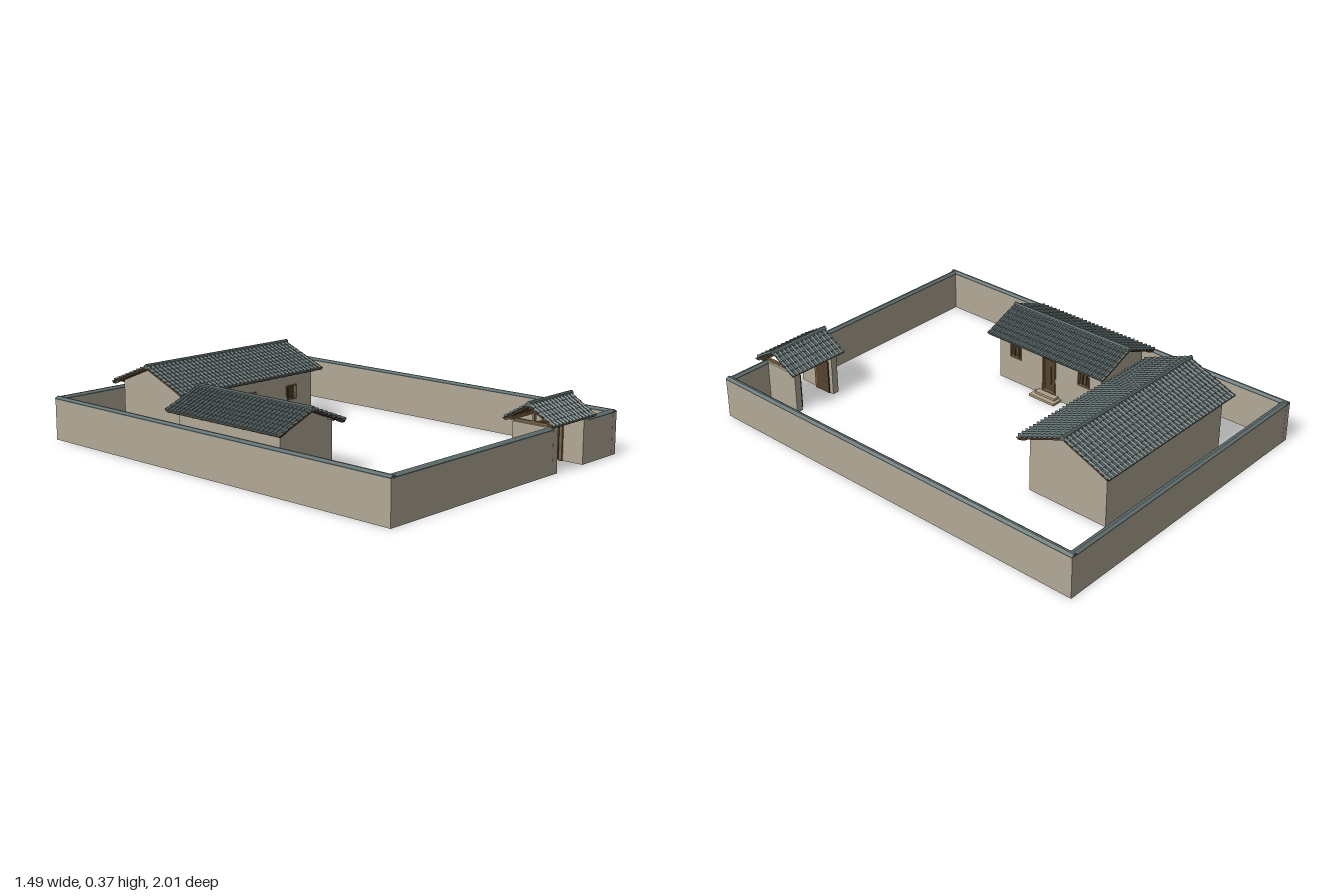
import * as THREE from 'three';

const mat = (name, color, opts = {}) => {
  const m = new THREE.MeshStandardMaterial({ color, ...opts });
  m.name = name;
  return m;
};

export function createModel() {
  const M = {
    wall: mat('plaster', 0xb2aa97),
    tile: mat('slate tile', 0x627070, { flatShading: true, side: THREE.DoubleSide }),
    wood: mat('brown wood', 0x7d6648),
    dark: mat('dark wood', 0x54422f),
    stone: mat('step stone', 0xb0a184),
  };
  const root = new THREE.Group();
  root.name = 'courtyard';

  const add = (parent, name, geo, material, x = 0, y = 0, z = 0) => {
    const m = new THREE.Mesh(geo, material);
    m.name = name;
    m.position.set(x, y, z);
    parent.add(m);
    return m;
  };
  // Box given by its lower and upper limits
  const box = (parent, name, material, x0, x1, y0, y1, z0, z1) =>
    add(parent, name, new THREE.BoxGeometry(x1 - x0, y1 - y0, z1 - z0), material,
      (x0 + x1) / 2, (y0 + y1) / 2, (z0 + z1) / 2);

  // Outline in (z, y), extruded along x and centred
  const prismX = (pts, length) => {
    const s = new THREE.Shape(pts.map(([z, y]) => new THREE.Vector2(-z, y)));
    const g = new THREE.ExtrudeGeometry(s, { depth: length, bevelEnabled: false });
    return g.translate(0, 0, -length / 2).rotateY(Math.PI / 2);
  };

  // Barrel tiles in overlapping courses; eave at z = length, ridge at z = 0
  function tileSheet(width, length) {
    const cols = Math.round(width / 0.0235), rows = Math.round(length / 0.028);
    const profile = [[0, 0], [0.06, 0.006], [0.18, 0.0095], [0.32, 0.0095], [0.44, 0.006], [0.5, 0], [0.75, -0.001]];
    const line = [];
    for (let c = 0; c < cols; c++)
      for (const [u, h] of profile) line.push([((c + u) / cols - 0.5) * width, h + 0.001]);
    line.push([width / 2, 0.001]);
    const pos = [], idx = [];
    const course = (z, lift, k = 1) => line.forEach(([x, h]) => pos.push(x, h * k + lift, z));
    course(length, 0, 0);
    for (let r = 0; r < rows; r++) {
      course(length * (1 - r / rows), 0.004);
      course(length * (1 - (r + 1) / rows), 0);
    }
    const n = line.length;
    for (let i = 0; i < rows * 2; i++)
      for (let j = 0; j < n - 1; j++) {
        const a = i * n + j, d = a + n;
        idx.push(a, a + 1, d + 1, a, d + 1, d);
      }
    const g = new THREE.BufferGeometry();
    g.setAttribute('position', new THREE.Float32BufferAttribute(pos, 3));
    g.setIndex(idx);
    g.computeVertexNormals();
    return g;
  }

  // Gable roof with its ridge along x
  function roof(parent, width, run, ridgeY, drop) {
    const g = new THREE.Group();
    g.name = 'roof';
    g.position.y = ridgeY;
    parent.add(g);
    const angle = Math.atan2(drop, run), length = Math.hypot(run, drop);
    const sheet = tileSheet(width, length);
    for (const turn of [0, Math.PI]) {
      const side = new THREE.Group(), slope = new THREE.Group();
      side.name = 'roofSide';
      slope.name = 'roofSlope';
      side.rotation.y = turn;
      slope.rotation.x = angle;
      side.add(slope);
      g.add(side);
      add(slope, 'roofTiles', sheet, M.tile);
      box(slope, 'roofBoards', M.dark, -width / 2 + 0.002, width / 2 - 0.002, -0.007, 0, 0, length - 0.002);
      // Rafter ends under the eave
      const count = Math.round(width / 0.05);
      for (let i = 0; i <= count; i++) {
        const x = (i / count - 0.5) * (width - 0.02);
        box(slope, 'rafterEnd', M.wood, x - 0.004, x + 0.004, -0.012, -0.006, length - 0.045, length - 0.006);
      }
    }
    add(g, 'ridgeCap', prismX([[-0.011, -0.004], [0.011, -0.004], [0.009, 0.01], [0.004, 0.015], [-0.004, 0.015], [-0.009, 0.01]], width), M.tile);
  }

  // House facing +z, with a recessed door, two windows and steps
  function house(name, width, depth, run, overhang, ridgeY, drop, winOffset) {
    const h = new THREE.Group();
    h.name = name;
    root.add(h);
    const hw = width / 2, hd = depth / 2, apex = ridgeY - 0.008;
    const at = z => apex - Math.abs(z) * drop / run;
    const t = 0.022, back = hd - t, top = at(hd);
    add(h, 'houseBody', prismX([[-hd, 0], [back, 0], [back, at(back)], [0, apex], [-hd, at(hd)]], width), M.wall);
    const doorW = 0.04, doorB = 0.022, doorT = Math.min(0.2, top - 0.025);
    const winW = 0.034, winT = doorT - 0.002, winB = winT - 0.072;
    const rect = (x0, x1, y0, y1, P) => new P([[x0, y0], [x1, y0], [x1, y1], [x0, y1]].map(p => new THREE.Vector2(...p)));
    const front = rect(-hw, hw, 0, top, THREE.Shape);
    front.holes.push(rect(-doorW, doorW, doorB, doorT, THREE.Path));
    for (const s of [-1, 1]) {
      const c = s * winOffset;
      front.holes.push(rect(c - winW, c + winW, winB, winT, THREE.Path));
    }
    add(h, 'frontWall', new THREE.ExtrudeGeometry(front, { depth: t, bevelEnabled: false }), M.wall, 0, 0, back);

    const frame = (label, c, w, y0, y1) => {
      const b = 0.006, z0 = hd - 0.012, z1 = hd + 0.003;
      for (const s of [-1, 1]) box(h, label, M.wood, c + s * (w - b / 2) - b / 2, c + s * (w - b / 2) + b / 2, y0, y1, z0, z1);
      box(h, label, M.wood, c - w, c + w, y1 - b, y1, z0, z1);
      box(h, label, M.wood, c - w, c + w, y0, y0 + b, z0, z1);
    };
    frame('doorFrame', 0, doorW, doorB, doorT);
    for (const s of [-1, 1])
      box(h, 'doorLeaf', M.dark, s < 0 ? -doorW : 0.001, s < 0 ? -0.001 : doorW, doorB, doorT, back, back + 0.006);
    for (const s of [-1, 1]) {
      const c = s * winOffset;
      frame('windowFrame', c, winW, winB, winT);
      box(h, 'windowPane', M.dark, c - winW, c + winW, winB, winT, back, back + 0.003);
      for (const k of [-0.33, 0.33])
        box(h, 'windowBar', M.wood, c + k * winW - 0.002, c + k * winW + 0.002, winB, winT, hd - 0.01, hd - 0.005);
    }
    box(h, 'upperStep', M.stone, -0.058, 0.058, 0, 0.021, hd, hd + 0.03);
    box(h, 'lowerStep', M.stone, -0.073, 0.073, 0, 0.011, hd, hd + 0.055);
    roof(h, width + overhang * 2, run, ridgeY, drop);
    return h;
  }

  const mainHouse = house('mainHouse', 0.795, 0.4, 0.238, 0.04, 0.351, 0.095, 0.265);
  mainHouse.position.set(-0.102, 0, -0.612);
  const sideHouse = house('sideHouse', 0.595, 0.3, 0.191, 0.04, 0.302, 0.076, 0.2);
  sideHouse.rotation.y = Math.PI / 2;
  sideHouse.position.set(-0.49, 0, 0.017);

  // Perimeter walls with tiled coping
  const coping = [[-0.016, 0], [0.016, 0], [0.016, 0.004], [0.004, 0.013], [-0.004, 0.013], [-0.016, 0.004]];
  function yardWall(name, x, z, length, alongZ) {
    const g = new THREE.Group();
    g.name = name;
    g.position.set(x, 0, z);
    if (alongZ) g.rotation.y = Math.PI / 2;
    root.add(g);
    box(g, 'wallPanel', M.wall, -length / 2, length / 2, 0, 0.187, -0.0145, 0.0145);
    add(g, 'wallCoping', prismX(coping, length), M.tile, 0, 0.186, 0);
  }
  yardWall('leftWall', 0.726, -0.009, 1.98, true);
  yardWall('rightWall', -0.73, -0.009, 1.98, true);
  yardWall('backWall', -0.002, -0.984, 1.455, false);
  yardWall('frontWallLong', -0.23, 0.966, 1.0, false);
  yardWall('frontWallShort', 0.623, 0.966, 0.206, false);

  // Gatehouse with open door leaves and an open timber gable
  const gate = new THREE.Group();
  gate.name = 'gatehouse';
  gate.position.set(0.396, 0, 0.873);
  root.add(gate);
  for (const s of [-1, 1]) {
    const span = (a, b) => (s > 0 ? [a, b] : [-b, -a]);
    box(gate, 'gateSideWall', M.wall, ...span(0.094, 0.126), 0, 0.195, -0.1, 0.108);
    box(gate, 'gateDoorPost', M.wood, ...span(0.084, 0.095), 0, 0.2, -0.008, 0.008);
    box(gate, 'gateDoorLeaf', M.dark, ...span(0.08, 0.086), 0.006, 0.17, -0.088, -0.006);
    box(gate, 'gateTieBeam', M.wood, ...span(0.104, 0.116), 0.195, 0.206, -0.1, 0.1);
    box(gate, 'gateKingPost', M.wood, ...span(0.104, 0.116), 0.206, 0.276, -0.005, 0.005);
  }
  box(gate, 'gateLintel', M.wood, -0.094, 0.094, 0.17, 0.2, -0.008, 0.008);
  box(gate, 'gateRidgeBeam', M.wood, -0.145, 0.145, 0.262, 0.274, -0.006, 0.006);
  for (const z of [-0.094, 0.094])
    box(gate, 'gateEaveBeam', M.wood, -0.145, 0.145, 0.204, 0.214, z - 0.006, z + 0.006);
  roof(gate, 0.312, 0.127, 0.281, 0.075);

  return root;
}
